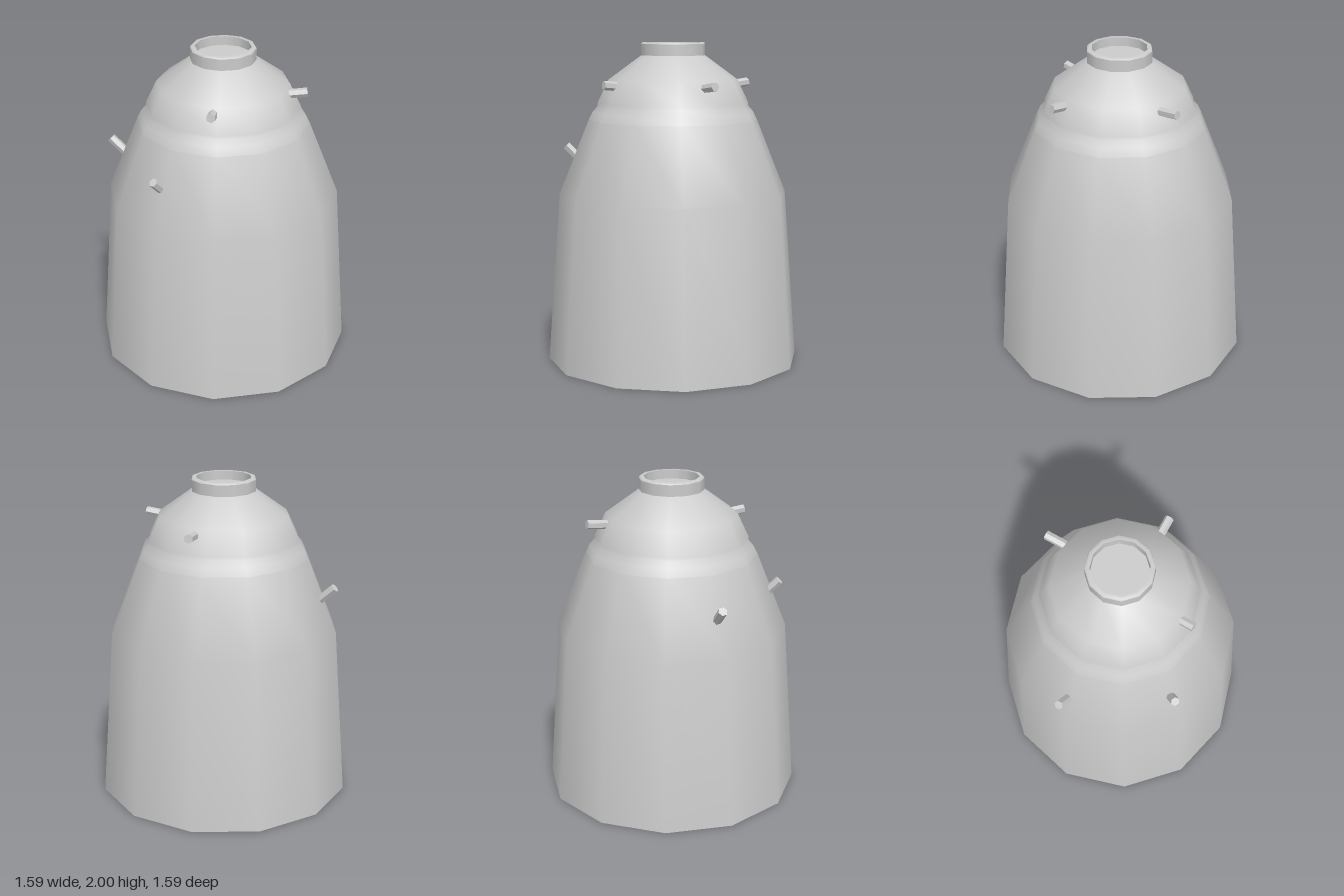
import * as THREE from 'three';

const SIDES = 12;
const shell = new THREE.MeshStandardMaterial({ color: 0xcccccc, side: THREE.DoubleSide });
const solid = new THREE.MeshStandardMaterial({ color: 0xcccccc, flatShading: true });

// Twelve-sided turned part from [radius, height] pairs, smooth along the profile
function turned(name, profile) {
  const points = profile.map(([r, y]) => new THREE.Vector2(r, y));
  const mesh = new THREE.Mesh(new THREE.LatheGeometry(points, SIDES), shell);
  mesh.name = name;
  return mesh;
}

// Hexagonal peg running from its root to its tip
function peg(name, root, tip) {
  const a = new THREE.Vector3(...root);
  const b = new THREE.Vector3(...tip);
  const dir = b.clone().sub(a);
  const mesh = new THREE.Mesh(new THREE.CylinderGeometry(0.028, 0.028, dir.length(), 6), solid);
  mesh.position.copy(a).add(b).multiplyScalar(0.5);
  mesh.quaternion.setFromUnitVectors(new THREE.Vector3(0, 1, 0), dir.normalize());
  mesh.name = name;
  return mesh;
}

export function createModel() {
  const model = new THREE.Group();
  model.name = 'bellHousing';

  // Hollow body, open at the bottom
  model.add(turned('body', [[0.795, 0], [0.715, 1.06], [0.53, 1.52]]));

  // Head with a shallow groove above the body
  model.add(turned('head', [
    [0.53, 1.52], [0.505, 1.57], [0.474, 1.605], [0.474, 1.625], [0.405, 1.77], [0.2, 1.92],
  ]));

  // Neck wall, rim and recessed floor
  model.add(turned('neckWall', [[0.2, 1.92], [0.2, 1.99]]));
  model.add(turned('neckRim', [[0.2, 1.99], [0.193, 2], [0.17, 2]]));
  model.add(turned('neckInnerWall', [[0.17, 2], [0.17, 1.945]]));
  model.add(turned('neckFloor', [[0.17, 1.945], [0, 1.945]]));

  // Pegs around the head
  model.add(peg('headPegBack', [0.075, 1.73, -0.4], [0.075, 1.745, -0.53]));
  model.add(peg('headPegLeft', [0.4, 1.73, 0.055], [0.51, 1.745, 0.058]));
  model.add(peg('headPegFront', [-0.025, 1.735, 0.39], [-0.033, 1.745, 0.49]));

  // Upward-tilted pegs on the body
  model.add(peg('bodyPegRight', [-0.61, 1.27, -0.02], [-0.705, 1.36, -0.035]));
  model.add(peg('bodyPegFrontRight', [-0.318, 1.28, 0.5], [-0.365, 1.36, 0.56]));

  return model;
}
